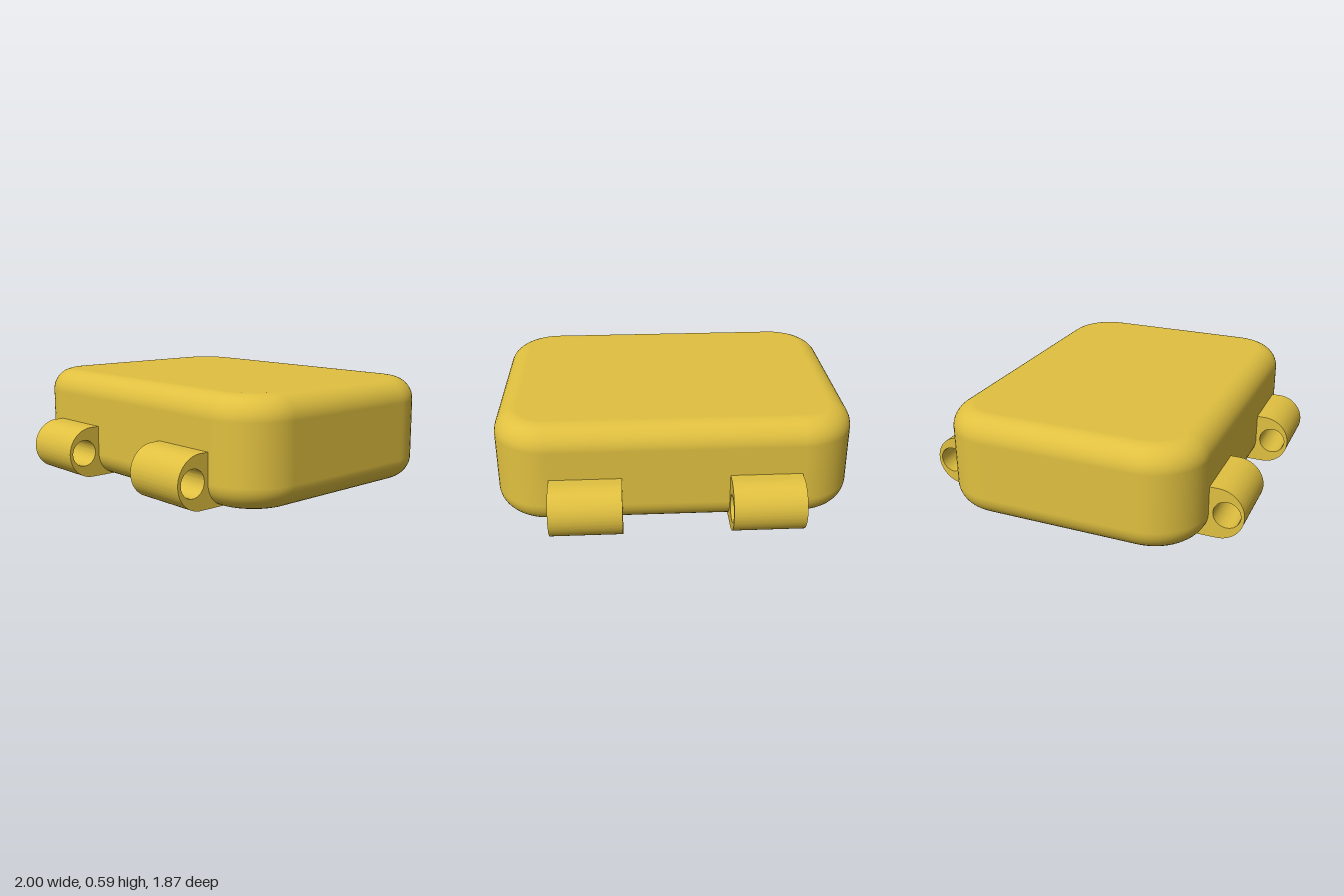
import * as THREE from 'three';
import { toCreasedNormals } from 'three/addons/utils/BufferGeometryUtils.js';

const HALF_X = 1, HALF_Z = 0.74, HEIGHT = 0.59;
const CORNER = 0.3, EDGE = 0.13;

// Box with large plan corners and smaller rounded top and bottom edges
function roundedCaseGeometry(cornerSteps = 14, edgeSteps = 10) {
  // Profile from bottom to top: inset, height, slope of the normal
  const profile = [];
  for (const side of [-1, 1]) {
    for (let i = 0; i <= edgeSteps; i++) {
      const t = i / edgeSteps * Math.PI / 2;
      const a = side < 0 ? t - Math.PI / 2 : t;
      const y = side < 0 ? EDGE : HEIGHT - EDGE;
      profile.push({ inset: EDGE * (1 - Math.cos(a)), y: y + EDGE * Math.sin(a), a });
    }
  }
  const pos = [], nor = [], idx = [];
  const count = 4 * (cornerSteps + 1);
  for (const p of profile) {
    for (let c = 0; c < 4; c++) {
      const sx = c === 0 || c === 3 ? 1 : -1, sz = c < 2 ? 1 : -1;
      for (let i = 0; i <= cornerSteps; i++) {
        const b = (c + i / cornerSteps) * Math.PI / 2;
        const dx = Math.cos(b), dz = Math.sin(b), r = CORNER - p.inset;
        pos.push(sx * (HALF_X - CORNER) + r * dx, p.y, sz * (HALF_Z - CORNER) + r * dz);
        nor.push(dx * Math.cos(p.a), Math.sin(p.a), dz * Math.cos(p.a));
      }
    }
  }
  const last = (profile.length - 1) * count;
  const bottom = pos.length / 3, top = bottom + 1;
  pos.push(0, 0, 0, 0, HEIGHT, 0);
  nor.push(0, -1, 0, 0, 1, 0);
  for (let k = 0; k < count; k++) {
    const n = (k + 1) % count;
    for (let r = 0; r < last; r += count) {
      idx.push(r + k, r + count + k, r + n, r + n, r + count + k, r + count + n);
    }
    idx.push(bottom, k, n, top, last + n, last + k);
  }
  const geo = new THREE.BufferGeometry();
  geo.setAttribute('position', new THREE.Float32BufferAttribute(pos, 3));
  geo.setAttribute('normal', new THREE.Float32BufferAttribute(nor, 3));
  geo.setIndex(idx);
  return geo;
}

// Strap lug: rounded outer end with a pin hole running along x
function lugGeometry() {
  const r = 0.1475, width = 0.395;
  const shape = new THREE.Shape();
  shape.moveTo(0.6, 0);
  shape.lineTo(0.788, 0);
  shape.absarc(0.788, r, r, -Math.PI / 2, Math.PI / 2, false);
  shape.lineTo(0.6, 2 * r);
  shape.closePath();
  const hole = new THREE.Path();
  hole.absarc(0.84, r, 0.076, 0, Math.PI * 2, true);
  shape.holes.push(hole);
  const geo = new THREE.ExtrudeGeometry(shape, { depth: width, bevelEnabled: false, curveSegments: 32 });
  geo.translate(0, 0, -width / 2);
  geo.rotateY(-Math.PI / 2);
  return toCreasedNormals(geo, 0.6);
}

export function createModel() {
  const model = new THREE.Group();
  model.name = 'watchCase';
  const gold = new THREE.MeshStandardMaterial({ color: 0xe0c040 });
  gold.name = 'gold';

  const body = new THREE.Mesh(roundedCaseGeometry(), gold);
  body.name = 'caseBody';
  model.add(body);

  // Two lugs on the front and two on the back
  const lug = lugGeometry();
  for (const end of ['front', 'back']) {
    for (const side of [-1, 1]) {
      const mesh = new THREE.Mesh(lug, gold);
      mesh.name = `${end}${side > 0 ? 'Left' : 'Right'}Lug`;
      mesh.position.x = side * 0.4925;
      if (end === 'back') mesh.rotation.y = Math.PI;
      model.add(mesh);
    }
  }
  return model;
}
